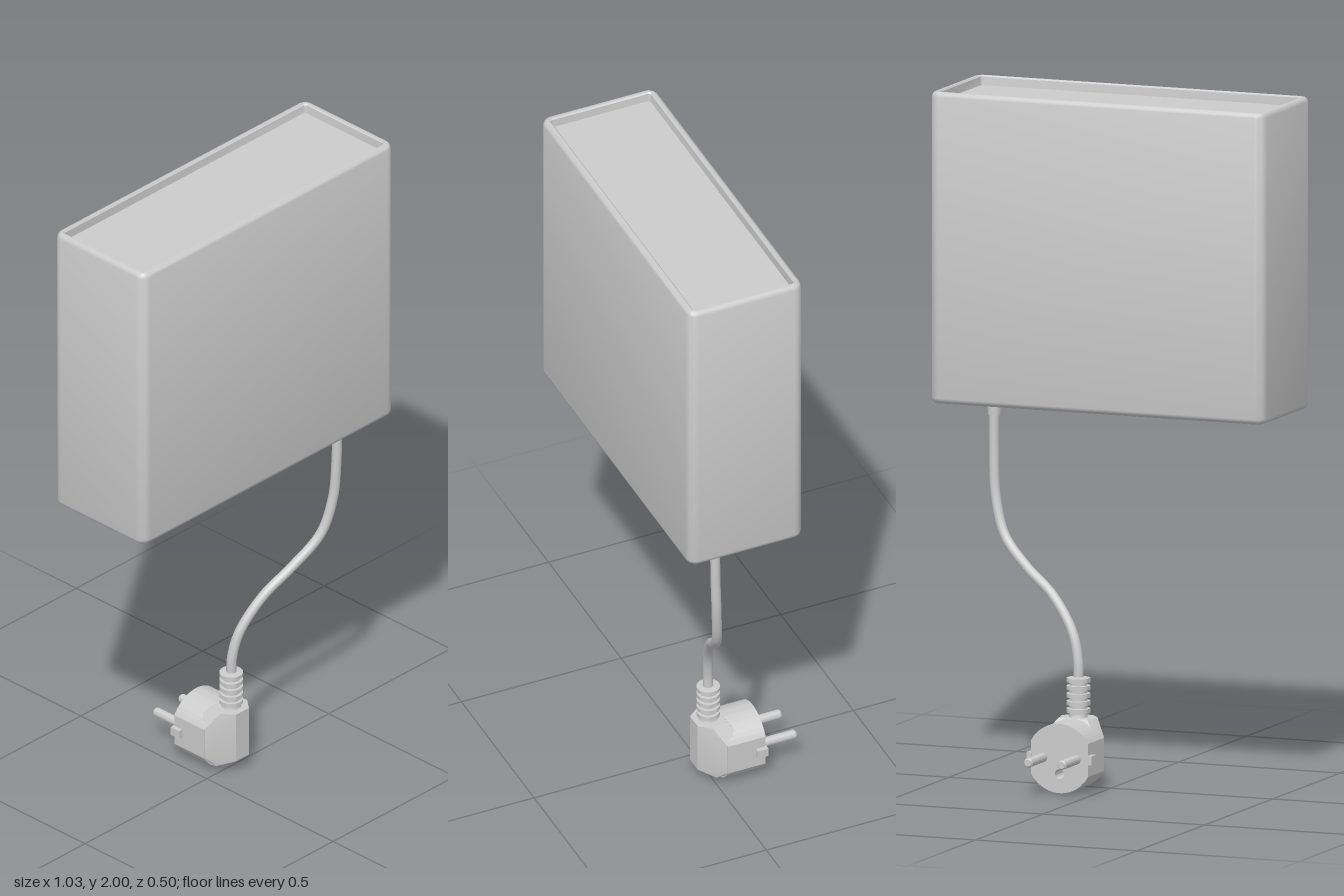
import * as THREE from 'three';
import { toCreasedNormals } from 'three/addons/utils/BufferGeometryUtils.js';
import { ConvexGeometry } from 'three/addons/geometries/ConvexGeometry.js';

const grey = new THREE.MeshStandardMaterial({ color: 0xcccccc });

function add(parent, name, geometry, x = 0, y = 0, z = 0) {
  const mesh = new THREE.Mesh(geometry, grey);
  mesh.name = name;
  mesh.position.set(x, y, z);
  parent.add(mesh);
  return mesh;
}

// One horizontal rounded-rectangle ring, inset from the full outline
function ring(halfX, halfZ, radius, inset, y) {
  const pts = [];
  const r = Math.max(radius - inset, 0.008);
  const cx = halfX - inset - r, cz = halfZ - inset - r;
  const corners = [[1, 1], [-1, 1], [-1, -1], [1, -1]];
  corners.forEach(([sx, sz], k) => {
    for (let i = 0; i <= 6; i++) {
      const a = (k + i / 6) * Math.PI / 2;
      pts.push([sx * cx + r * Math.cos(a), y, sz * cz + r * Math.sin(a)]);
    }
  });
  return pts;
}

// Skin a stack of rings and close both ends
function loft(rings) {
  const n = rings[0].length, pos = rings.flat(2), idx = [];
  for (let j = 0; j < rings.length - 1; j++) {
    for (let i = 0; i < n; i++) {
      const a = j * n + i, b = j * n + (i + 1) % n;
      idx.push(a, a + n, b, b, a + n, b + n);
    }
  }
  const last = (rings.length - 1) * n;
  for (let i = 1; i < n - 1; i++) {
    idx.push(0, i, i + 1);
    idx.push(last, last + i + 1, last + i);
  }
  const g = new THREE.BufferGeometry();
  g.setAttribute('position', new THREE.Float32BufferAttribute(pos, 3));
  g.setIndex(idx);
  return toCreasedNormals(g, 0.6);
}

function lathe(profile, segments = 24) {
  const g = new THREE.LatheGeometry(profile.map(([r, y]) => new THREE.Vector2(r, y)), segments);
  return toCreasedNormals(g, 0.6);
}

function createPlug() {
  const plug = new THREE.Group();
  plug.name = 'plug';

  // Round contact disc with flattened sides and an earth hole
  const R = 0.1, flat = Math.acos(0.088 / R);
  const face = new THREE.Shape();
  face.absarc(0, 0, R, flat, Math.PI - flat, false);
  face.absarc(0, 0, R, Math.PI + flat, -flat, false);
  face.closePath();
  const hole = new THREE.Path();
  hole.absarc(0, -0.045, 0.014, 0, Math.PI * 2, true);
  face.holes.push(hole);
  const disc = new THREE.ExtrudeGeometry(face, { depth: 0.12, bevelEnabled: false, curveSegments: 24 });
  add(plug, 'contactDisc', toCreasedNormals(disc, 0.5), 0, 0, -0.14);

  // Faceted grip narrowing to a ridge at the front
  const pts = [];
  for (const s of [-1, 1]) {
    for (const [x, y, z] of [
      [0.026, 0.1, 0.045], [0.026, -0.055, 0.045], [0.026, -0.085, 0.012],
      [0.055, 0.1, 0.01], [0.06, -0.075, 0.0],
      [0.087, 0.05, -0.02], [0.087, -0.045, -0.02],
      [0.087, 0.045, -0.08], [0.087, -0.045, -0.08],
      [0.045, 0.1, -0.04], [0.045, -0.085, -0.04],
    ]) pts.push(new THREE.Vector3(s * x, y, z));
  }
  add(plug, 'grip', toCreasedNormals(new ConvexGeometry(pts), 0.3));

  // Mirrored pins and earth clips
  for (const s of [-1, 1]) {
    const pin = lathe([[0, 0], [0.0135, 0], [0.0135, 0.107], [0.010, 0.112], [0, 0.112]], 20);
    pin.rotateX(-Math.PI / 2);
    add(plug, 'pin', pin, s * 0.052, 0, -0.138);
    add(plug, 'earthClip', new THREE.BoxGeometry(0.016, 0.026, 0.034), s * 0.093, 0, -0.126);
  }

  // Ribbed strain relief
  const profile = [[0, 0.09], [0.032, 0.09]];
  for (let i = 0; i < 5; i++) {
    const y = 0.105 + i * 0.022;
    profile.push([0.026, y], [0.026, y + 0.007], [0.034, y + 0.008], [0.034, y + 0.02], [0.026, y + 0.021]);
  }
  profile.push([0, 0.216]);
  add(plug, 'strainRelief', lathe(profile));

  plug.position.set(0.1, 0.105, 0);
  return plug;
}

export function createModel() {
  const model = new THREE.Group();
  model.name = 'powerSupply';

  // Case with rounded edges and a raised rim around the recessed top
  const profile = [
    [0.016, 1.1], [0.008, 1.102], [0.002, 1.108], [0, 1.116],
    [0, 1.986], [0.003, 1.994], [0.008, 1.999], [0.013, 2],
    [0.018, 2], [0.022, 1.996], [0.024, 1.972],
  ];
  add(model, 'case', loft(profile.map(([inset, y]) => ring(0.517, 0.179, 0.03, inset, y))), 0, 0, 0.068);

  // Cable gland under the case
  add(model, 'cableGland', lathe([[0, 1.04], [0.019, 1.04], [0.021, 1.09], [0.048, 1.09], [0.05, 1.094], [0.05, 1.104], [0, 1.104]]), 0.41, 0, 0.12);

  // Hanging power cord
  const path = new THREE.CatmullRomCurve3([
    [0.41, 1.08, 0.12], [0.41, 0.94, 0.118], [0.402, 0.81, 0.111], [0.368, 0.7, 0.095],
    [0.285, 0.615, 0.064], [0.195, 0.545, 0.036], [0.125, 0.45, 0.012],
    [0.102, 0.37, 0.002], [0.1, 0.29, 0],
  ].map(p => new THREE.Vector3(...p)));
  add(model, 'powerCord', new THREE.TubeGeometry(path, 80, 0.0145, 14));

  model.add(createPlug());
  return model;
}
